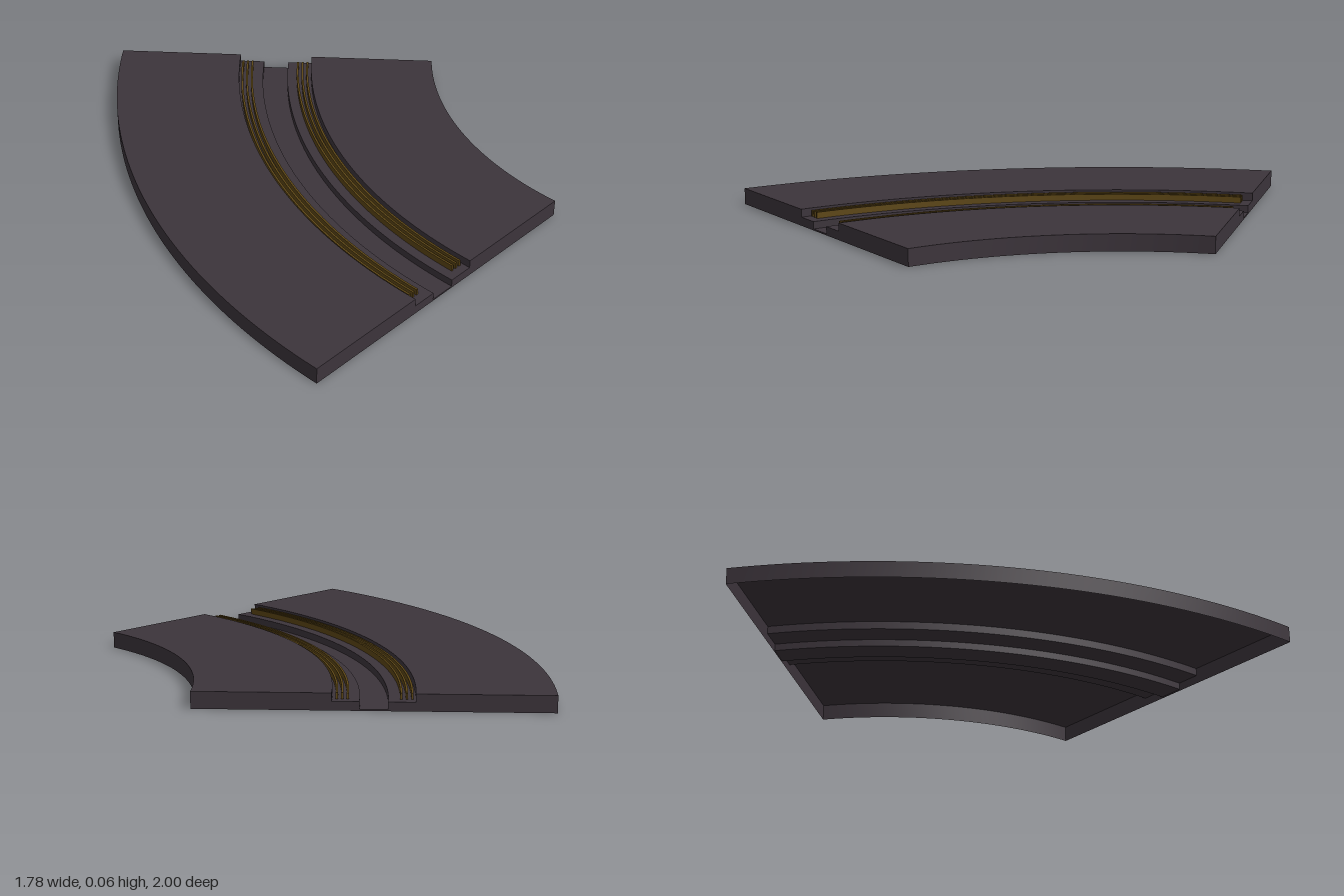
import * as THREE from 'three';
import { mergeGeometries } from 'three/addons/utils/BufferGeometryUtils.js';

const CENTRE_X = 1.721;            // bend centre, at z = 1
const BEND = THREE.MathUtils.degToRad(50);
const STEPS = 48;

// Strips swept round the bend: smooth along the arc, sharp across the profile.
// Profile points are [x, y] on the front end, running clockwise.
function sweep(profile, from, to) {
  const strips = [];
  for (let i = 0; i < profile.length - 1; i++) {
    const pos = [], index = [];
    for (let s = 0; s <= STEPS; s++) {
      const a = from + (to - from) * s / STEPS;
      for (const [x, y] of [profile[i], profile[i + 1]]) {
        const r = CENTRE_X - x;
        pos.push(-r * Math.cos(a), y, -r * Math.sin(a));
      }
      if (s < STEPS) {
        const k = s * 2;
        index.push(k, k + 1, k + 2, k + 1, k + 3, k + 2);
      }
    }
    const g = new THREE.BufferGeometry();
    g.setAttribute('position', new THREE.Float32BufferAttribute(pos, 3));
    g.setIndex(index);
    g.computeVertexNormals();
    strips.push(g);
  }
  return mergeGeometries(strips);
}

// Flat end plate with the profile's outline
function endPlate(profile, angle, isBack) {
  const shape = new THREE.Shape(profile.map(([x, y]) => new THREE.Vector2(x - CENTRE_X, y)));
  const g = new THREE.ShapeGeometry(shape);
  if (isBack) {
    g.index.array.reverse();
    g.computeVertexNormals();
  }
  return g.rotateY(-angle);
}

export function createModel() {
  const model = new THREE.Group();
  model.name = 'curvedTrackSection';
  const plastic = new THREE.MeshStandardMaterial({ color: 0x3c343b, side: THREE.DoubleSide });
  plastic.name = 'dark plastic';
  const brass = new THREE.MeshStandardMaterial({ color: 0x5e4715, side: THREE.DoubleSide });
  brass.name = 'dark brass';

  const add = (name, geometry, material) => {
    const mesh = new THREE.Mesh(geometry, material);
    mesh.name = name;
    mesh.position.set(CENTRE_X, 0, 1);
    model.add(mesh);
  };

  // Hollow road bed, open underneath, with a stepped guide channel
  const top = 0.065, ledge = 0.034, floor = 0.006;
  const bed = [
    [-0.89, 0], [-0.89, top], [-0.383, top], [-0.383, ledge],
    [-0.283, ledge], [-0.283, floor], [-0.18, floor], [-0.18, ledge],
    [-0.08, ledge], [-0.08, top], [0.43, top], [0.43, 0],
  ];
  add('roadBed', sweep(bed, 0, BEND), plastic);
  add('frontEnd', endPlate(bed, 0, false), plastic);
  add('backEnd', endPlate(bed, BEND, true), plastic);

  // Three conductor strips on each ledge, stopping short of the ends
  const inset = 0.018, half = 0.004, stripTop = 0.058;
  const from = inset, to = BEND - inset;
  for (const [side, middle] of [['outer', -0.35], ['inner', -0.117]]) {
    for (const offset of [-0.02, 0, 0.02]) {
      const x0 = middle + offset - half, x1 = middle + offset + half;
      const outline = [[x0, ledge], [x0, stripTop], [x1, stripTop], [x1, ledge]];
      add(side + 'Conductor', mergeGeometries([
        sweep(outline, from, to),
        ...[endPlate(outline, from, false), endPlate(outline, to, true)].map((g) => {
          g.deleteAttribute('uv');
          return g;
        }),
      ]), brass);
    }
  }
  return model;
}
